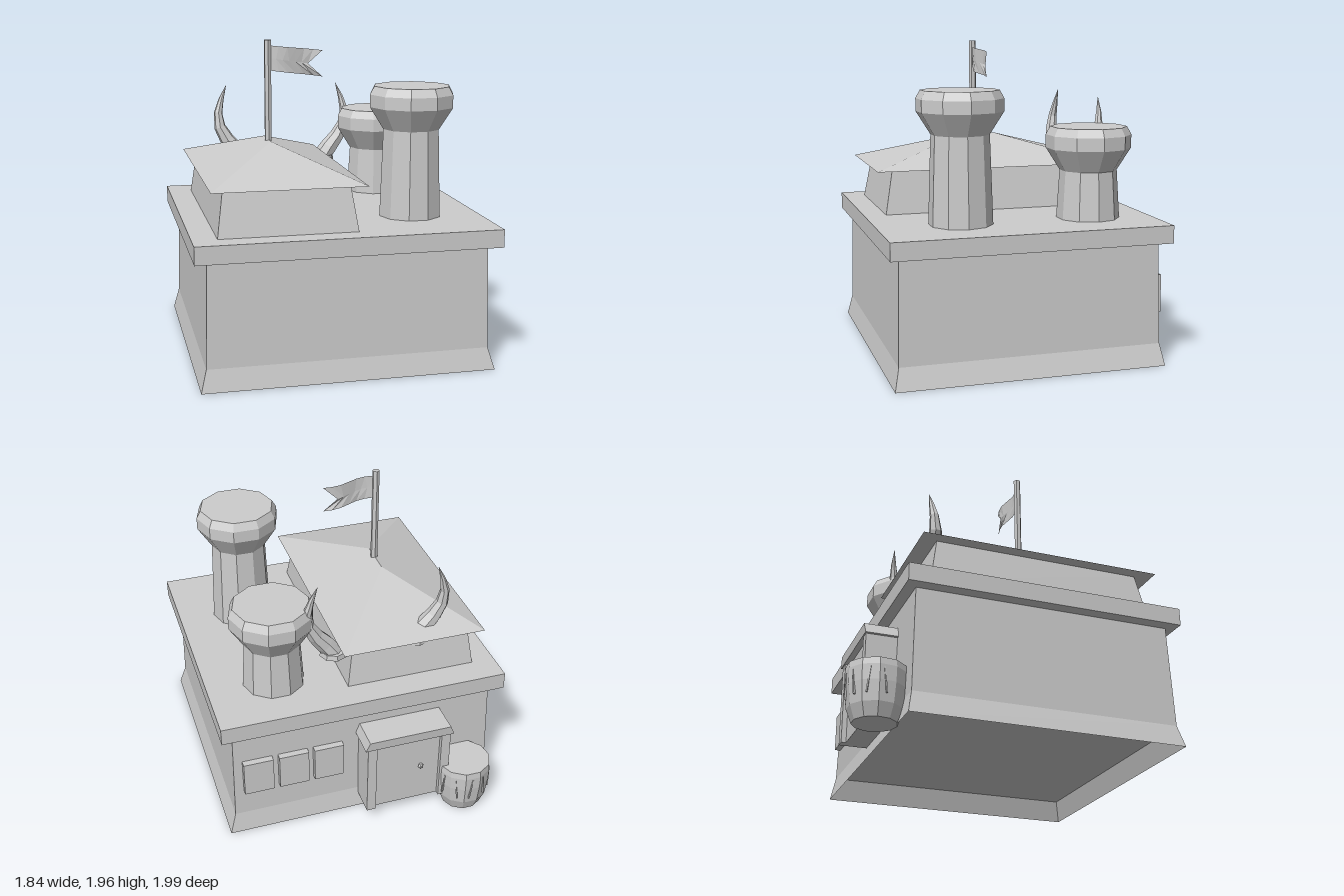
import * as THREE from 'three';

export function createModel() {
  const model = new THREE.Group();
  const stone = new THREE.MeshStandardMaterial({ color: 0xcccccc, flatShading: true });
  stone.name = 'light grey';
  const thin = stone.clone();
  thin.name = 'light grey two sided';
  thin.side = THREE.DoubleSide;

  function add(name, geometry, x = 0, y = 0, z = 0, material = stone) {
    const mesh = new THREE.Mesh(geometry, material);
    mesh.name = name;
    mesh.position.set(x, y, z);
    model.add(mesh);
    return mesh;
  }

  // Box given by its limits
  function block(name, x0, x1, y0, y1, z0, z1) {
    return add(name, new THREE.BoxGeometry(x1 - x0, y1 - y0, z1 - z0),
      (x0 + x1) / 2, (y0 + y1) / 2, (z0 + z1) / 2);
  }

  // Stacked rectangles [y, x0, x1, z0, z1], closed at both ends unless open
  function stack(rings, open = false) {
    const pos = [], index = [];
    for (const [y, x0, x1, z0, z1] of rings) {
      pos.push(x0, y, z1, x1, y, z1, x1, y, z0, x0, y, z0);
    }
    for (let r = 0; r < rings.length - 1; r++) {
      for (let i = 0; i < 4; i++) {
        const a = r * 4 + i, b = r * 4 + (i + 1) % 4;
        index.push(a, b, b + 4, a, b + 4, a + 4);
      }
    }
    const t = (rings.length - 1) * 4;
    if (!open) index.push(0, 2, 1, 0, 3, 2, t, t + 1, t + 2, t, t + 2, t + 3);
    const g = new THREE.BufferGeometry();
    g.setAttribute('position', new THREE.Float32BufferAttribute(pos, 3));
    g.setIndex(index);
    g.computeVertexNormals();
    return g;
  }

  function lathe(points, sides) {
    return new THREE.LatheGeometry(points.map(p => new THREE.Vector2(...p)), sides);
  }

  // Main building on a hollow flared skirt
  const skirtTop = [0.135, -0.86, 0.855, -0.675, 0.95];
  add('skirt', stack([[0, -0.895, 0.895, -0.70, 0.98], skirtTop], true), 0, 0, 0, thin);
  add('walls', stack([skirtTop, [0.77, -0.843, 0.843, -0.66, 0.937]]));
  block('roofSlab', -0.92, 0.92, 0.77, 0.88, -0.727, 1.0);

  // Upper house with hipped roof
  add('upperHouse', stack([
    [0.88, -0.77, 0.067, -0.55, 0.862],
    [1.16, -0.73, 0.025, -0.505, 0.81],
  ]));
  add('hippedRoof', stack([
    [1.16, -0.81, 0.112, -0.61, 0.917],
    [1.337, -0.35, -0.35, 0.03, 0.275],
  ]));

  // Ten-sided towers with flared caps
  for (const [name, z, neck, top] of [['tallTower', 0.485, 1.425, 1.69], ['shortTower', -0.335, 1.18, 1.45]]) {
    const tower = add(name, lathe([
      [0, 0.88], [0.197, 0.88], [0.178, neck], [0.265, neck + 0.138],
      [0.265, top - 0.05], [0.238, top], [0, top],
    ], 10), 0.492, 0, z);
    tower.rotation.y = Math.PI / 2;
  }

  // Flagpole and swallow-tailed flag
  add('flagpole', new THREE.CylinderGeometry(0.023, 0.023, 0.7, 6), -0.35, 1.61, 0.18);
  const flagPos = [], flagIndex = [], steps = 6;
  for (let i = 0; i <= steps; i++) {
    const t = i / steps;
    const top = 1.925 - 0.035 * t, bottom = 1.77 - 0.045 * t;
    for (const [length, y] of [[0.34, top], [0.25, (top + bottom) / 2], [0.34, bottom]]) {
      const reach = length * t;
      flagPos.push(-0.34 + reach, y, 0.18 + 0.018 * Math.sin(reach / 0.34 * Math.PI * 2));
    }
    if (i < steps) {
      for (const k of [0, 1]) {
        const a = i * 3 + k;
        flagIndex.push(a, a + 1, a + 4, a, a + 4, a + 3);
      }
    }
  }
  const flag = new THREE.BufferGeometry();
  flag.setAttribute('position', new THREE.Float32BufferAttribute(flagPos, 3));
  flag.setIndex(flagIndex);
  flag.computeVertexNormals();
  add('flag', flag, 0, 0, 0, thin);

  // Pair of curved horns, mirrored about x = -0.1375
  const hornPoints = [[0.135, 1.085, -0.447], [0.175, 1.15, -0.447], [0.25, 1.245, -0.455],
    [0.305, 1.36, -0.465], [0.295, 1.47, -0.48], [0.245, 1.61, -0.492]];
  for (const [side, dir] of [['left', 1], ['right', -1]]) {
    const path = new THREE.CatmullRomCurve3(
      hornPoints.map(([x, y, z]) => new THREE.Vector3(-0.1375 + dir * (x + 0.1375), y, z)));
    const segments = 6, sides = 7;
    const horn = new THREE.TubeGeometry(path, segments, 1, sides);
    const p = horn.attributes.position, v = new THREE.Vector3();
    for (let i = 0; i < p.count; i++) {
      const t = Math.floor(i / (sides + 1)) / segments;
      const c = path.getPointAt(t);
      v.fromBufferAttribute(p, i).sub(c).multiplyScalar(0.001 + 0.068 * Math.pow(1 - t, 0.8)).add(c);
      p.setXYZ(i, v.x, Math.max(v.y, 1.085), v.z);
    }
    horn.computeVertexNormals();
    add(side + 'Horn', horn);
    add(side + 'HornCollar', new THREE.CylinderGeometry(0.085, 0.09, 0.035, 8),
      -0.1375 + dir * 0.2695, 1.097, -0.447);
  }

  // Back doorway: posts, lintel, door and knob
  add('doorLintel', stack([
    [0.595, -0.535, 0.053, -0.862, -0.64],
    [0.66, -0.508, 0.027, -0.867, -0.64],
  ]));
  for (const x of [-0.515, -0.025]) block('doorPost', x, x + 0.06, 0.09, 0.595, -0.855, -0.64);
  block('door', -0.455, -0.025, 0.09, 0.595, -0.825, -0.64);
  add('doorKnob', new THREE.SphereGeometry(0.018, 6, 5), -0.33, 0.36, -0.837);

  // Three back windows
  for (let i = 0; i < 3; i++) {
    const x = 0.145 + i * 0.228;
    block('window', x, x + 0.19, 0.315, 0.55, -0.708, -0.65);
  }

  // Barrel beside the door, with slim raised splinters
  const bx = -0.637, bz = -0.815;
  add('barrel', lathe([[0, 0], [0.13, 0], [0.16, 0.08], [0.174, 0.2], [0.177, 0.29], [0.172, 0.33], [0, 0.33]], 11), bx, 0, bz);
  for (let i = 0; i < 6; i++) {
    const a = Math.PI * (0.62 + i * 0.18);
    const splinter = add('splinter', new THREE.BoxGeometry(0.008, 0.15, 0.012),
      bx + 0.168 * Math.sin(a), 0.2, bz + 0.168 * Math.cos(a));
    splinter.rotation.set(0, a, i % 2 ? 0.12 : -0.12);
  }
  return model;
}
